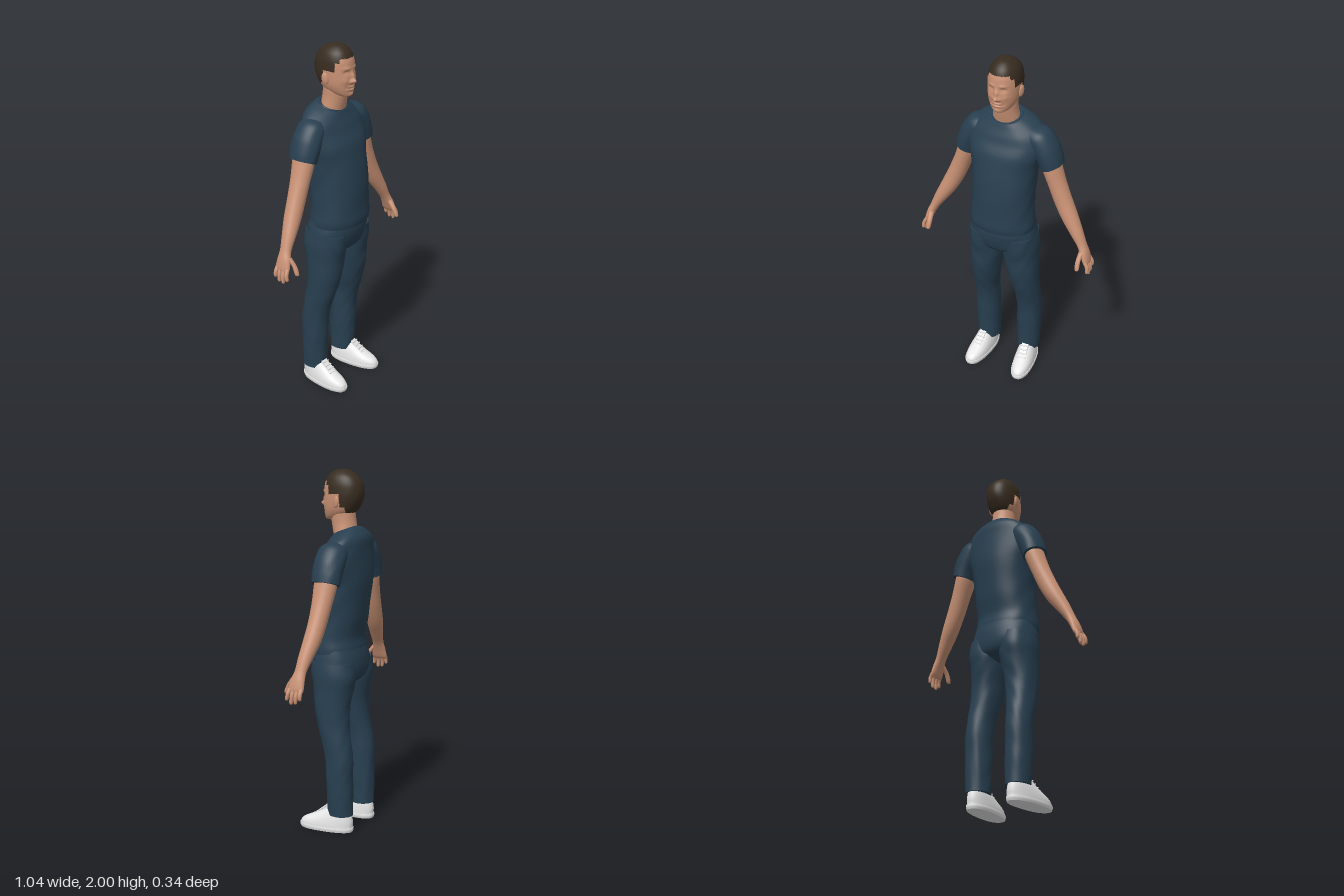
import * as THREE from 'three';

const material = (name, color, side = THREE.FrontSide) => {
  const m = new THREE.MeshStandardMaterial({ color, side });
  m.name = name;
  return m;
};

const spline = (a, b, c, d, t) =>
  0.5 * (2 * b + (c - a) * t + (2 * a - 5 * b + 4 * c - d) * t * t + (3 * b - a - 3 * c + d) * t ** 3);

// Smooth skin over rings listed from top to bottom:
// [x, y, z, half width, half depth, sideways tilt, forward dip]
function loft(rings, { sides = 40, steps = 6, n = 2, shape } = {}) {
  const pos = [], index = [], rows = (rings.length - 1) * steps + 1;
  const ringAt = (k) => {
    const i = Math.min(Math.floor(k / steps), rings.length - 2), t = k / steps - i;
    const r = (j) => rings[Math.max(0, Math.min(rings.length - 1, j))];
    return [0, 1, 2, 3, 4, 5, 6].map((c) =>
      spline(...[-1, 0, 1, 2].map((o) => r(i + o)[c] ?? 0), t));
  };
  const power = (v) => Math.sign(v) * Math.abs(v) ** (2 / n);
  const p = new THREE.Vector3();
  for (let k = 0; k < rows; k++) {
    const [x, y, z, rx, rz, tilt, dip] = ringAt(k);
    for (let i = 0; i < sides; i++) {
      const a = (i / sides) * Math.PI * 2;
      const u = power(Math.cos(a)) * rx, v = power(Math.sin(a)) * rz;
      p.set(x + u * Math.cos(tilt), y + u * Math.sin(tilt) - dip * v, z + v);
      if (shape) shape(p, a, x, z);
      pos.push(p.x, p.y, p.z);
    }
  }
  for (let k = 0; k < rows - 1; k++) {
    for (let i = 0; i < sides; i++) {
      const a = k * sides + i, b = k * sides + (i + 1) % sides;
      index.push(a, b, a + sides, b, b + sides, a + sides);
    }
  }
  // Caps with their own vertices, so that hems stay crisp
  for (const [row, top] of [[0, true], [rows - 1, false]]) {
    const ring = pos.slice(row * sides * 3, (row + 1) * sides * 3), start = pos.length / 3;
    const c = ringAt(row);
    pos.push(...ring, c[0], c[1], c[2]);
    for (let i = 0; i < sides; i++) {
      const a = start + i, b = start + (i + 1) % sides;
      index.push(start + sides, top ? b : a, top ? a : b);
    }
  }
  const g = new THREE.BufferGeometry();
  g.setAttribute('position', new THREE.Float32BufferAttribute(pos, 3));
  g.setIndex(index);
  g.computeVertexNormals();
  return g;
}

function mirrored(geometry) {
  const g = geometry.clone().scale(-1, 1, 1), ix = g.index.array;
  for (let i = 0; i < ix.length; i += 3) [ix[i + 1], ix[i + 2]] = [ix[i + 2], ix[i + 1]];
  g.computeVertexNormals();
  return g;
}

// Soft cloth folds, pushing points in and out from the axis
const folds = (size, freq) => (p, a, cx, cz) => {
  const s = 1 + size * Math.sin(p.y * freq + 2.5 * Math.sin(a * 2 + p.y * 5)) * Math.sin(a * 3 + p.y * 9);
  p.x = cx + (p.x - cx) * s;
  p.z = cz + (p.z - cz) * s;
};

// Face relief: [x, y, width, height, depth]
const relief = [
  [0, 1.815, 0.013, 0.012, 0.026], [0, 1.842, 0.010, 0.020, 0.014],
  [0.017, 1.811, 0.008, 0.008, 0.008], [0.034, 1.862, 0.015, 0.010, -0.011],
  [0.033, 1.860, 0.009, 0.005, 0.006], [0.032, 1.885, 0.022, 0.007, 0.005],
  [0.045, 1.818, 0.016, 0.016, 0.005], [0, 1.785, 0.024, 0.005, 0.007],
  [0, 1.776, 0.027, 0.003, -0.004], [0, 1.768, 0.022, 0.005, 0.006],
  [0.034, 1.783, 0.007, 0.007, -0.004], [0, 1.742, 0.022, 0.010, 0.007],
];
const sculptFace = (p) => {
  if (p.z < 0.01) return;
  let d = 0;
  for (const [x, y, w, h, depth] of relief) {
    d += depth * Math.exp(-(((Math.abs(p.x) - x) / w) ** 2) - ((p.y - y) / h) ** 2);
  }
  p.z += d * Math.min(1, (p.z - 0.01) / 0.04);
};

// Lowest height of the hair for a given depth on the head
const hairline = (z) => z > 0.055 ? 1.937 : z > 0.035 ? 1.915 : z > 0.012 ? 1.868
  : z > -0.035 ? 1.872 : z > -0.06 ? 1.80 : 1.768;

function splitHair(g) {
  const ix = g.index.array, p = g.attributes.position, skin = [], hair = [];
  for (let i = 0; i < ix.length; i += 3) {
    const f = [ix[i], ix[i + 1], ix[i + 2]];
    const mean = (get) => f.reduce((s, v) => s + get(v), 0) / 3;
    const isHair = mean((v) => p.getY(v)) > hairline(mean((v) => p.getZ(v)));
    (isHair ? hair : skin).push(...f);
  }
  g.setIndex([...skin, ...hair]);
  g.addGroup(0, skin.length, 0);
  g.addGroup(skin.length, hair.length, 1);
  return g;
}

export function createModel() {
  const skin = material('skin', 0xc89174);
  const hair = material('hair', 0x382c20);
  const cloth = material('navy cloth', 0x283f50);
  const white = material('white shoe', 0xe6e6e6);

  const model = new THREE.Group();
  model.name = 'standingMan';
  const body = new THREE.Group();
  body.name = 'body';
  body.position.x = -0.01;
  const arms = new THREE.Group();
  arms.name = 'arms';
  model.add(body, arms);

  const add = (parent, name, geometry, mat) => {
    const m = new THREE.Mesh(geometry, mat);
    m.name = name;
    parent.add(m);
    return m;
  };
  const addPair = (parent, name, geometry, mat) => {
    add(parent, 'left' + name, geometry, mat);
    add(parent, 'right' + name, mirrored(geometry), mat);
  };

  // Head, ears and neck
  const head = loft([
    [0, 2.0, -0.012, 0.004, 0.005], [0, 1.994, -0.012, 0.034, 0.042],
    [0, 1.965, -0.017, 0.067, 0.083], [0, 1.925, -0.021, 0.083, 0.106],
    [0, 1.88, -0.022, 0.087, 0.113], [0, 1.84, -0.018, 0.086, 0.111],
    [0, 1.80, -0.009, 0.081, 0.101], [0, 1.77, 0.002, 0.071, 0.088],
    [0, 1.745, 0.025, 0.054, 0.060], [0, 1.730, 0.045, 0.032, 0.034],
    [0, 1.727, 0.045, 0.004, 0.004],
  ], { sides: 128, steps: 9, n: 2.15, shape: sculptFace });
  add(body, 'headAndHair', splitHair(head), [skin, hair]);
  const ear = new THREE.SphereGeometry(1, 20, 14).scale(0.009, 0.033, 0.019)
    .rotateX(-0.15).rotateY(-0.35).translate(0.089, 1.828, -0.018);
  addPair(body, 'Ear', ear, skin);
  add(body, 'neck', loft([
    [0, 1.81, -0.015, 0.066, 0.066], [0, 1.75, -0.017, 0.066, 0.068],
    [0, 1.70, -0.024, 0.068, 0.068], [0, 1.62, -0.04, 0.08, 0.066],
  ]), skin);

  // T-shirt body, collar and sleeves
  add(body, 'shirt', loft([
    [0, 1.668, -0.036, 0.088, 0.072, 0, 0.4], [0, 1.645, -0.040, 0.135, 0.087, 0, 0.4],
    [0, 1.605, -0.045, 0.19, 0.108, 0, 0.3], [0, 1.55, -0.040, 0.212, 0.118, 0, 0.15],
    [0, 1.47, -0.028, 0.208, 0.136], [0, 1.39, -0.020, 0.187, 0.145],
    [0, 1.30, -0.008, 0.178, 0.148], [0, 1.20, 0.004, 0.174, 0.147],
    [0, 1.10, 0.014, 0.178, 0.138], [0, 1.04, 0.012, 0.184, 0.142],
    [0, 1.005, 0.008, 0.183, 0.140],
  ], { sides: 72, n: 2.25, shape: folds(0.012, 24) }), cloth);
  const collar = new THREE.TorusGeometry(1, 0.08, 8, 48).scale(0.082, 0.068, 0.075)
    .rotateX(Math.PI / 2 + 0.38).translate(0, 1.668, -0.036);
  add(body, 'collar', collar, cloth);
  addPair(arms, 'Sleeve', loft([
    [0.12, 1.585, -0.05, 0.05, 0.065, 0.95], [0.17, 1.565, -0.05, 0.068, 0.082, 0.75],
    [0.21, 1.51, -0.05, 0.074, 0.086, 0.55], [0.235, 1.455, -0.05, 0.069, 0.084, 0.42],
    [0.25, 1.408, -0.05, 0.064, 0.080, 0.36],
  ], { shape: folds(0.02, 30) }), cloth);

  // Arms down to the palms
  addPair(arms, 'Arm', loft([
    [0.235, 1.46, -0.05, 0.052, 0.062, 0.4], [0.25, 1.40, -0.048, 0.053, 0.064, 0.4],
    [0.282, 1.31, -0.045, 0.050, 0.056, 0.4], [0.323, 1.21, -0.040, 0.050, 0.050, 0.42],
    [0.368, 1.12, -0.032, 0.046, 0.047, 0.44], [0.415, 1.04, -0.020, 0.036, 0.039, 0.42],
    [0.451, 0.975, -0.012, 0.026, 0.033, 0.35], [0.473, 0.93, -0.006, 0.023, 0.041, 0.3],
    [0.489, 0.885, -0.004, 0.018, 0.046, 0.25], [0.494, 0.868, -0.004, 0.011, 0.042, 0.2],
  ]), skin);

  // Fingers, from front to back, and thumb
  const digit = (a, b, c, r) => loft([
    [...a, r, r, 0.25], [...b, r * 0.95, r * 0.95, 0.2], [...c, r * 0.8, r * 0.8, 0.1],
    [c[0], c[1] - 0.008, c[2], r * 0.15, r * 0.15, 0.1],
  ], { sides: 14, steps: 4 });
  [[0.030, 0.040, 0.832], [0.008, 0.014, 0.814], [-0.015, -0.012, 0.818], [-0.037, -0.038, 0.838]]
    .forEach(([z, tipZ, y], i) => addPair(arms, 'Finger' + (i + 1),
      digit([0.489, 0.89, z], [0.505, (y + 0.89) / 2, (z + tipZ) / 2], [0.508, y, tipZ], 0.0118), skin));
  addPair(arms, 'Thumb', digit([0.462, 0.945, 0.018], [0.458, 0.90, 0.052], [0.460, 0.858, 0.070], 0.015), skin);

  // Trousers: hips and two legs
  add(body, 'trouserHips', loft([
    [0, 1.03, 0.0, 0.178, 0.130], [0, 0.98, -0.003, 0.189, 0.138],
    [0, 0.92, -0.010, 0.196, 0.134], [0, 0.87, -0.012, 0.192, 0.118],
    [0, 0.835, -0.012, 0.15, 0.08], [0, 0.815, -0.012, 0.08, 0.035],
  ], { sides: 64, n: 2.3, shape: folds(0.01, 40) }), cloth);
  addPair(body, 'TrouserLeg', loft([
    [0.100, 0.96, -0.006, 0.092, 0.125], [0.100, 0.88, -0.012, 0.101, 0.126],
    [0.104, 0.80, -0.012, 0.098, 0.112], [0.113, 0.70, -0.010, 0.088, 0.099],
    [0.123, 0.60, -0.022, 0.079, 0.089], [0.131, 0.50, -0.048, 0.070, 0.082],
    [0.133, 0.40, -0.062, 0.069, 0.078], [0.133, 0.28, -0.065, 0.069, 0.075],
    [0.131, 0.17, -0.068, 0.066, 0.073], [0.130, 0.095, -0.070, 0.064, 0.071],
  ], { sides: 48, n: 2.15, shape: folds(0.022, 32) }), cloth);

  // Shoes: upper, sole, tongue and laces, turned slightly outwards
  const place = (g) => g.rotateY(0.1).translate(0.14, 0, 0);
  addPair(body, 'ShoeUpper', place(loft([
    [0, 0.135, -0.060, 0.036, 0.060], [0, 0.105, -0.042, 0.045, 0.092],
    [0, 0.078, -0.020, 0.052, 0.121], [0, 0.055, 0.002, 0.056, 0.146],
    [0, 0.035, 0.012, 0.058, 0.155], [0, 0.018, 0.012, 0.058, 0.155],
  ], { n: 2.3 })), white);
  addPair(body, 'ShoeSole', place(loft([
    [0, 0.026, 0.013, 0.061, 0.159], [0, 0.014, 0.013, 0.062, 0.160], [0, 0, 0.013, 0.058, 0.155],
  ], { n: 2.35, steps: 3 })), white);
  const tongue = new THREE.BoxGeometry(0.04, 0.012, 0.09).rotateX(0.66).translate(0, 0.112, 0.032);
  addPair(body, 'ShoeTongue', place(tongue), white);
  for (let i = 0; i < 4; i++) {
    const lace = new THREE.CapsuleGeometry(0.004, 0.044, 4, 8).rotateZ(Math.PI / 2)
      .translate(0, 0.135 - i * 0.015, 0.016 + i * 0.019);
    addPair(body, 'ShoeLace' + (i + 1), place(lace), white);
  }
  return model;
}
